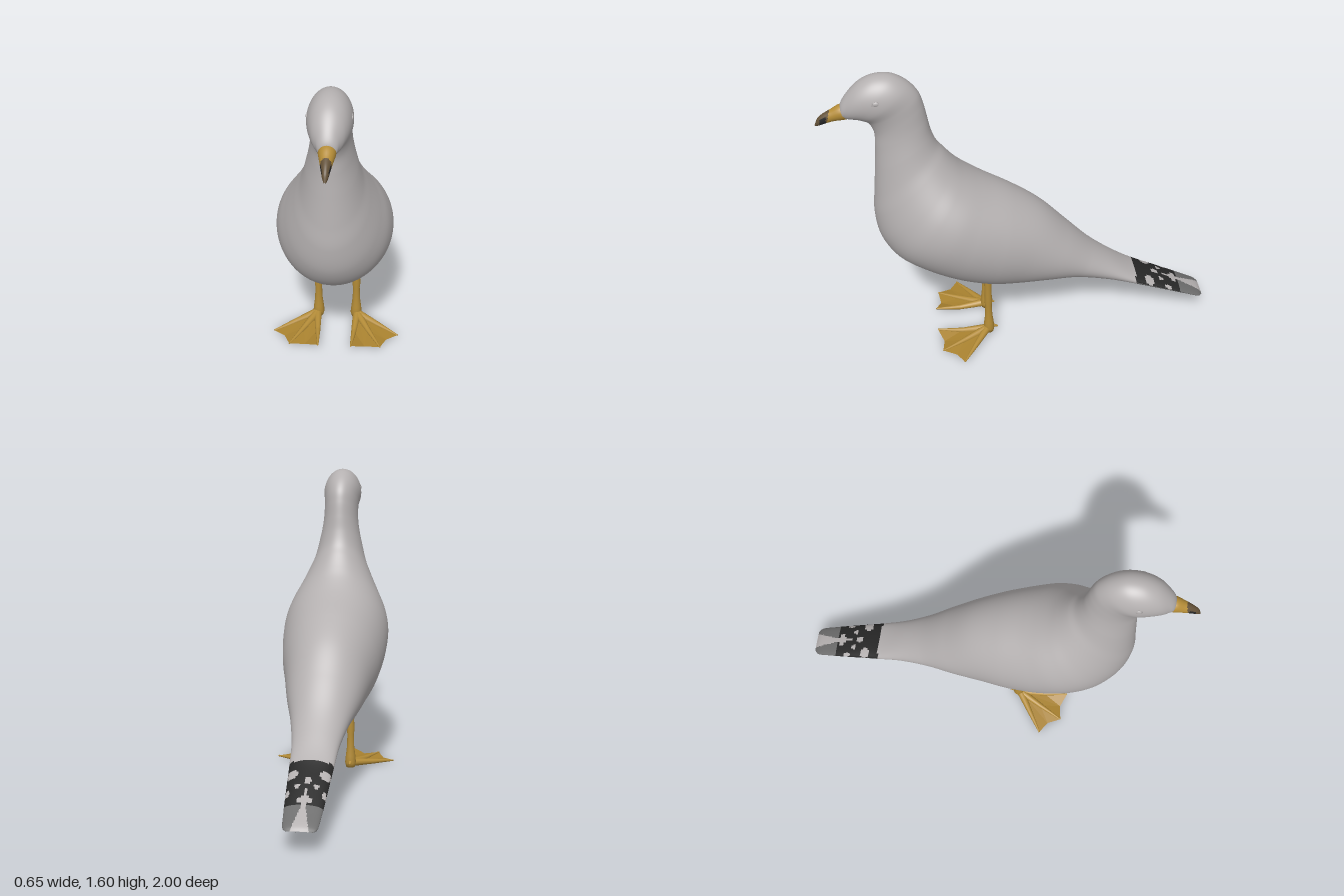
import * as THREE from 'three';

const mat = (name, color, side = THREE.FrontSide) => {
  const m = new THREE.MeshStandardMaterial({ color, side });
  m.name = name;
  return m;
};

// Skin over oval cross-sections [backZ, backY, bellyZ, bellyY, halfWidth].
// paint(x, z, up) picks the material index for each small face.
function loft(sections, steps, sides, paint, materials) {
  const back = new THREE.CatmullRomCurve3(sections.map(s => new THREE.Vector3(s[4], s[1], s[0])));
  const belly = new THREE.CatmullRomCurve3(sections.map(s => new THREE.Vector3(0, s[3], s[2])));
  const rings = (sections.length - 1) * steps;
  const pos = [];
  for (let i = 0; i <= rings; i++) {
    const b = back.getPoint(i / rings), f = belly.getPoint(i / rings);
    for (let j = 0; j < sides; j++) {
      const a = (j / sides) * Math.PI * 2, c = Math.cos(a) / 2;
      pos.push(b.x * Math.sin(a), (b.y + f.y) / 2 + (b.y - f.y) * c, (b.z + f.z) / 2 + (b.z - f.z) * c);
    }
  }
  const lists = materials.map(() => []);
  for (let i = 0; i < rings; i++) {
    for (let j = 0; j < sides; j++) {
      const k = (j + 1) % sides;
      const p = i * sides + j, q = i * sides + k, r = p + sides, s = q + sides;
      const x = (pos[p * 3] + pos[s * 3]) / 2, z = (pos[p * 3 + 2] + pos[s * 3 + 2]) / 2;
      lists[paint(x, z, Math.cos(((j + 0.5) / sides) * Math.PI * 2))].push(p, r, q, q, r, s);
    }
  }
  const geo = new THREE.BufferGeometry();
  geo.setAttribute('position', new THREE.Float32BufferAttribute(pos, 3));
  geo.setIndex(lists.flat());
  let start = 0;
  lists.forEach((l, m) => { geo.addGroup(start, l.length, m); start += l.length; });
  geo.computeVertexNormals();
  return new THREE.Mesh(geo, materials);
}

export function createModel() {
  const model = new THREE.Group();
  model.name = 'gull';
  const plumage = mat('plumage grey', 0xb4b0b0);
  const black = mat('feather black', 0x272727);
  const tipGrey = mat('tail tip grey', 0x6c6c6c);
  const yellow = mat('leg yellow', 0xb48c37);
  const web = mat('web yellow', 0xa9822f, THREE.DoubleSide);
  const beakDark = mat('beak tip brown', 0x635138);
  const add = (parent, mesh, name) => { mesh.name = name; parent.add(mesh); return mesh; };

  // Body, tail, neck and head in one skin
  const tail = [
    [-1.0, 0.118, -1.0, 0.112, 0.058],
    [-0.98, 0.135, -0.98, 0.106, 0.077],
    [-0.9, 0.175, -0.9, 0.135, 0.087],
    [-0.75, 0.25, -0.76, 0.185, 0.097],
    [-0.6, 0.325, -0.62, 0.235, 0.106],
    [-0.48, 0.41, -0.45, 0.285, 0.118],
    [-0.37, 0.5, -0.25, 0.33, 0.148],
  ];
  const trunk = [
    [-0.24, 0.635, -0.1, 0.328, 0.188],
    [-0.1, 0.78, 0.07, 0.325, 0.224],
    [0.05, 0.885, 0.2, 0.34, 0.258],
    [0.18, 0.96, 0.38, 0.4, 0.281],
    [0.24, 1.0, 0.55, 0.49, 0.285],
    [0.3, 1.05, 0.67, 0.575, 0.265],
    [0.345, 1.1, 0.74, 0.69, 0.225],
    [0.39, 1.16, 0.76, 0.83, 0.18],
  ];
  const neck = [
    [0.425, 1.21, 0.75, 0.95, 0.147],
    [0.45, 1.28, 0.735, 1.1, 0.12],
    [0.465, 1.36, 0.725, 1.22, 0.1],
    [0.48, 1.44, 0.725, 1.3, 0.093],
  ];
  const head = [
    [0.5, 1.5, 0.75, 1.355, 0.095],
    [0.55, 1.56, 0.785, 1.375, 0.103],
    [0.62, 1.6, 0.81, 1.38, 0.099],
    [0.7, 1.603, 0.83, 1.381, 0.088],
    [0.77, 1.575, 0.845, 1.382, 0.073],
    [0.83, 1.52, 0.855, 1.383, 0.054],
    [0.87, 1.46, 0.865, 1.388, 0.036],
    [0.875, 1.42, 0.875, 1.41, 0.01],
  ];
  // Pale spots on the black tail band: [x, z, radiusX, radiusZ]
  const spots = [[0.078, -0.69, 0.028, 0.024], [0, -0.73, 0.016, 0.02], [0.045, -0.76, 0.014, 0.012],
    [0.008, -0.84, 0.026, 0.02], [0.085, -0.8, 0.01, 0.02]];
  const paintBody = (x, z, up) => {
    const ax = Math.abs(x);
    if (up < 0) {
      // dark underside, narrowing towards the belly
      const edge = THREE.MathUtils.mapLinear(z, -0.25, -0.6, -0.92, -0.4);
      if (z > -0.25 || (z > -0.61 && up > edge) || (z > -0.36 && ax < 0.02)) return 0;
      return z > -0.95 + 400 * ax ** 3 ? 1 : 2;
    }
    if (z > -0.61) return 0;
    if (z < -0.87) return ax < 0.012 + Math.max(0, -0.88 - z) * 0.25 ? 0 : 2;
    if (spots.some(s => ((ax - s[0]) / s[2]) ** 2 + ((z - s[1]) / s[3]) ** 2 < 1)) return 0;
    return ax < 0.006 && z < -0.78 ? 0 : 1;
  };
  const sections = [...tail, ...trunk, ...neck, ...head];
  add(model, loft(sections, 12, 96, paintBody, [plumage, black, tipGrey]), 'body');

  // Hooked beak with a dark end
  const beakSections = [
    [0.81, 1.44, 0.83, 1.382, 0.036],
    [0.87, 1.455, 0.86, 1.376, 0.039],
    [0.92, 1.43, 0.91, 1.37, 0.029],
    [0.96, 1.408, 0.95, 1.358, 0.02],
    [0.985, 1.385, 0.98, 1.348, 0.013],
    [1.0, 1.352, 0.998, 1.345, 0.004],
  ];
  const paintBeak = (x, z, up) => {
    if (z < 0.935 - up * 0.01) return 0;
    return z > 0.943 && z < 0.975 && Math.abs(up + 0.2) < 0.6 ? 2 : 1;
  };
  add(model, loft(beakSections, 8, 24, paintBeak, [yellow, beakDark, black]), 'beak');

  // Tapered rod between two points
  const rod = (a, b, r0, r1) => {
    const p = new THREE.Vector3(...a), d = new THREE.Vector3(...b).sub(p);
    const m = new THREE.Mesh(new THREE.CylinderGeometry(r1, r0, d.length(), 10), yellow);
    m.position.copy(p).addScaledVector(d, 0.5);
    m.quaternion.setFromUnitVectors(new THREE.Vector3(0, 1, 0), d.normalize());
    return m;
  };

  const legProfile = [[0, 0.012], [0.024, 0.015], [0.03, 0.04], [0.026, 0.08], [0.02, 0.13], [0.018, 0.2],
    [0.022, 0.235], [0.019, 0.27], [0.02, 0.34], [0.021, 0.4]].map(p => new THREE.Vector2(...p));

  for (const s of [1, -1]) {
    const side = s > 0 ? 'left' : 'right';

    // Eye with a low rim
    const eye = add(model, new THREE.Mesh(new THREE.SphereGeometry(0.015, 16, 10), plumage), side + 'Eye');
    eye.position.set(s * 0.096, 1.5, 0.7);
    eye.scale.set(0.45, 0.8, 1.1);
    const rim = add(model, new THREE.Mesh(new THREE.TorusGeometry(0.018, 0.002, 6, 20), plumage), side + 'EyeRim');
    rim.position.set(s * 0.097, 1.5, 0.7);
    rim.rotation.y = Math.PI / 2;
    rim.scale.y = 0.8;

    // Leg
    const leg = new THREE.Group();
    leg.name = side + 'Leg';
    model.add(leg);
    const shank = add(leg, new THREE.Mesh(new THREE.LatheGeometry(legProfile, 14), yellow), 'shank');
    shank.position.set(s * 0.1, 0, 0.2);

    // Three bent front toes and a short rear one
    const heel = [s * 0.105, 0.036, 0.21];
    const tips = [[0.085, 0.034, 0.48], [0.235, 0.018, 0.46], [0.325, 0.01, 0.35]]
      .map(t => [s * t[0], t[1], t[2]]);
    const mids = tips.map(t => [(heel[0] + t[0]) / 2, 0.023, (heel[2] + t[2]) / 2]);
    tips.forEach((t, i) => {
      add(leg, rod(heel, mids[i], 0.022, 0.014), 'toeBase');
      add(leg, rod(mids[i], t, 0.014, 0.004), 'toeTip');
    });
    add(leg, rod([s * 0.1, 0.05, 0.19], [s * 0.1, 0.04, 0.152], 0.014, 0.004), 'rearToe');

    // Webs with shallow scooped front edges
    const pts = [];
    for (let i = 0; i < 2; i++) {
      const a = tips[i], b = tips[i + 1];
      const scoop = a.map((v, k) => heel[k] + ((v + b[k]) / 2 - heel[k]) * 0.92);
      scoop[1] = 0.01;
      for (const [p, q] of [[a, mids[i]], [mids[i], heel], [heel, mids[i + 1]], [mids[i + 1], b]]) {
        pts.push(...(s > 0 ? [...p, ...scoop, ...q] : [...p, ...q, ...scoop]));
      }
    }
    const webGeo = new THREE.BufferGeometry();
    webGeo.setAttribute('position', new THREE.Float32BufferAttribute(pts, 3));
    webGeo.computeVertexNormals();
    add(leg, new THREE.Mesh(webGeo, web), 'web');
  }
  return model;
}
